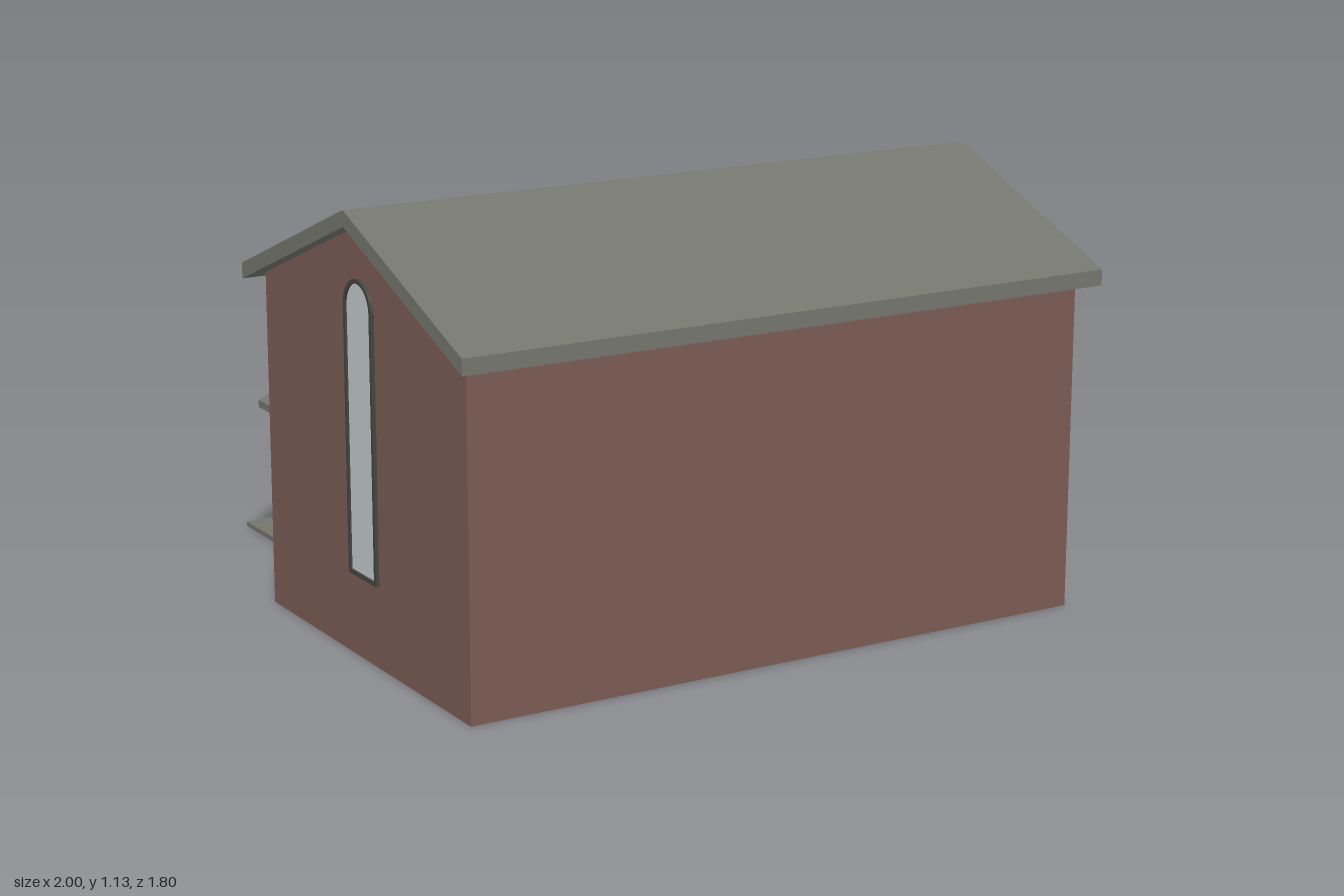
import * as THREE from 'three';
import { ConvexGeometry } from 'three/addons/geometries/ConvexGeometry.js';

const material = (name, color) => {
  const m = new THREE.MeshStandardMaterial({ color });
  m.name = name;
  return m;
};

export function createModel() {
  const house = new THREE.Group();
  house.name = 'house';
  const brick = material('brick', 0x7c5c55);
  const slate = material('slate grey', 0x74766e);
  const glass = material('pale glass', 0xc4cccd);
  const wood = material('brown wood', 0x5c523c);
  const dark = material('dark frame', 0x45463f);

  const add = (name, geometry, mat, parent = house) => {
    const mesh = new THREE.Mesh(geometry, mat);
    mesh.name = name;
    parent.add(mesh);
    return mesh;
  };
  // Box given by its limits on each axis
  const box = (name, [x0, x1], [y0, y1], [z0, z1], mat, parent) => {
    const mesh = add(name, new THREE.BoxGeometry(x1 - x0, y1 - y0, z1 - z0), mat, parent);
    mesh.position.set((x0 + x1) / 2, (y0 + y1) / 2, (z0 + z1) / 2);
    return mesh;
  };
  const extrude = (points, depth) => new THREE.ExtrudeGeometry(
    new THREE.Shape(points.map(([x, y]) => new THREE.Vector2(x, y))),
    { depth, bevelEnabled: false });
  const gable = (half, eave, ridge, depth) =>
    extrude([[-half, 0], [half, 0], [half, eave], [0, ridge], [-half, eave]], depth);
  const pitchedRoof = (half, eave, ridge, thick, depth) => extrude([
    [-half, eave - thick], [0, ridge - thick], [half, eave - thick],
    [half, eave], [0, ridge], [-half, eave]], depth);

  // Main block with its ridge running along x
  const walls = add('mainWalls', gable(0.54, 0.877, 1.09, 1.74).rotateY(Math.PI / 2), brick);
  walls.position.set(-0.96, 0, 0.3);
  const roof = add('mainRoof', pitchedRoof(0.595, 0.895, 1.132, 0.041, 1.82).rotateY(Math.PI / 2), slate);
  roof.position.set(-1, 0, 0.3);

  // Entrance porch at the back
  const porch = new THREE.Group();
  porch.name = 'porch';
  porch.position.x = -0.525;
  house.add(porch);
  add('porchWalls', gable(0.2175, 0.416, 0.525, 0.435), brick, porch).position.z = -0.675;
  add('porchRoof', pitchedRoof(0.26, 0.415, 0.545, 0.02, 0.46), slate, porch).position.z = -0.7;
  box('foundation', [-0.2175, 0.2175], [0, 0.002], [-0.898, -0.675], brick, porch);
  box('doorstep', [-0.2175, 0.2175], [0.002, 0.013], [-0.9, -0.675], slate, porch);
  box('doormat', [-0.105, 0.105], [0.013, 0.02], [-0.8, -0.7], wood, porch);
  box('doorFrame', [-0.112, 0.112], [0.013, 0.312], [-0.677, -0.675], dark, porch);
  for (const s of [-1, 1]) {
    const door = box('doorLeaf', [-0.052, 0.052], [0.015, 0.305], [-0.68, -0.675], wood, porch);
    door.position.x = s * 0.0535;
    const knob = add('doorKnob', new THREE.SphereGeometry(0.006, 10, 8), dark, porch);
    knob.position.set(s * 0.014, 0.155, -0.682);
  }

  // Two paned windows on the back wall
  for (const [y0, y1] of [[0.125, 0.345], [0.56, 0.775]]) {
    const window = new THREE.Group();
    window.name = 'backWindow';
    house.add(window);
    const x0 = 0.076, x1 = 0.452, xm = (x0 + x1) / 2, ym = (y0 + y1) / 2 + 0.01;
    box('windowGlass', [x0, x1], [y0, y1], [-0.243, -0.24], glass, window);
    const bar = (x, y) => box('windowBar', x, y, [-0.247, -0.24], wood, window);
    for (const x of [x0, x1]) bar([x - 0.003, x + 0.003], [y0, y1]);
    for (const y of [y0, y1]) bar([x0, x1], [y - 0.003, y + 0.003]);
    bar([xm - 0.005, xm + 0.005], [y0, y1]);
    bar([x0, x1], [ym - 0.002, ym + 0.002]);
  }

  // Tall arched window on the left gable
  const arch = (r, base, spring, PathType = THREE.Shape) => {
    const p = new PathType();
    p.moveTo(-r, base);
    p.lineTo(r, base);
    p.lineTo(r, spring);
    p.absarc(0, spring, r, 0, Math.PI, false);
    p.lineTo(-r, base);
    return p;
  };
  const frameShape = arch(0.075, 0.21, 0.885);
  frameShape.holes.push(arch(0.064, 0.221, 0.885, THREE.Path));
  for (const [name, shape, depth, mat] of [
    ['archGlass', arch(0.066, 0.219, 0.885), 0.004, glass],
    ['archFrame', frameShape, 0.009, dark]]) {
    const geometry = new THREE.ExtrudeGeometry(shape, { depth, bevelEnabled: false, curveSegments: 12 });
    const mesh = add(name, geometry.rotateY(-Math.PI / 2), mat);
    mesh.position.set(-0.96, 0, 0.3);
  }

  // Bay window on the right gable: stacked trapezoid prisms
  const bay = new THREE.Group();
  bay.name = 'bayWindow';
  bay.position.z = 0.3;
  house.add(bay);
  const bayLayer = (name, inset, y0, y1, mat) => {
    const back = 0.415 - inset, front = 0.215 - inset * 0.6, x = 1 - inset * 0.5;
    const geometry = extrude([[0.78, -back], [x, -front], [x, front], [0.78, back]], y1 - y0);
    add(name, geometry.rotateX(-Math.PI / 2), mat, bay).position.y = y0;
  };
  bayLayer('bayGlass', 0.012, 0, 0.44, glass);
  bayLayer('baySill', 0, 0.002, 0.028, slate);
  bayLayer('baySillTrim', 0.006, 0.028, 0.036, dark);
  bayLayer('bayHeadTrim', 0.006, 0.432, 0.44, dark);

  // Faceted bay roof
  const corners = [];
  for (const s of [-1, 1]) {
    for (const [x, y, z] of [
      [0.78, 0.44, 0.415], [1, 0.44, 0.215], [0.78, 0.555, 0.415],
      [1, 0.468, 0.215], [0.88, 0.562, 0.17], [0.78, 0.618, 0.21]]) {
      corners.push(new THREE.Vector3(x, y, s * z));
    }
  }
  add('bayRoof', new ConvexGeometry(corners), slate, bay);

  return house;
}
